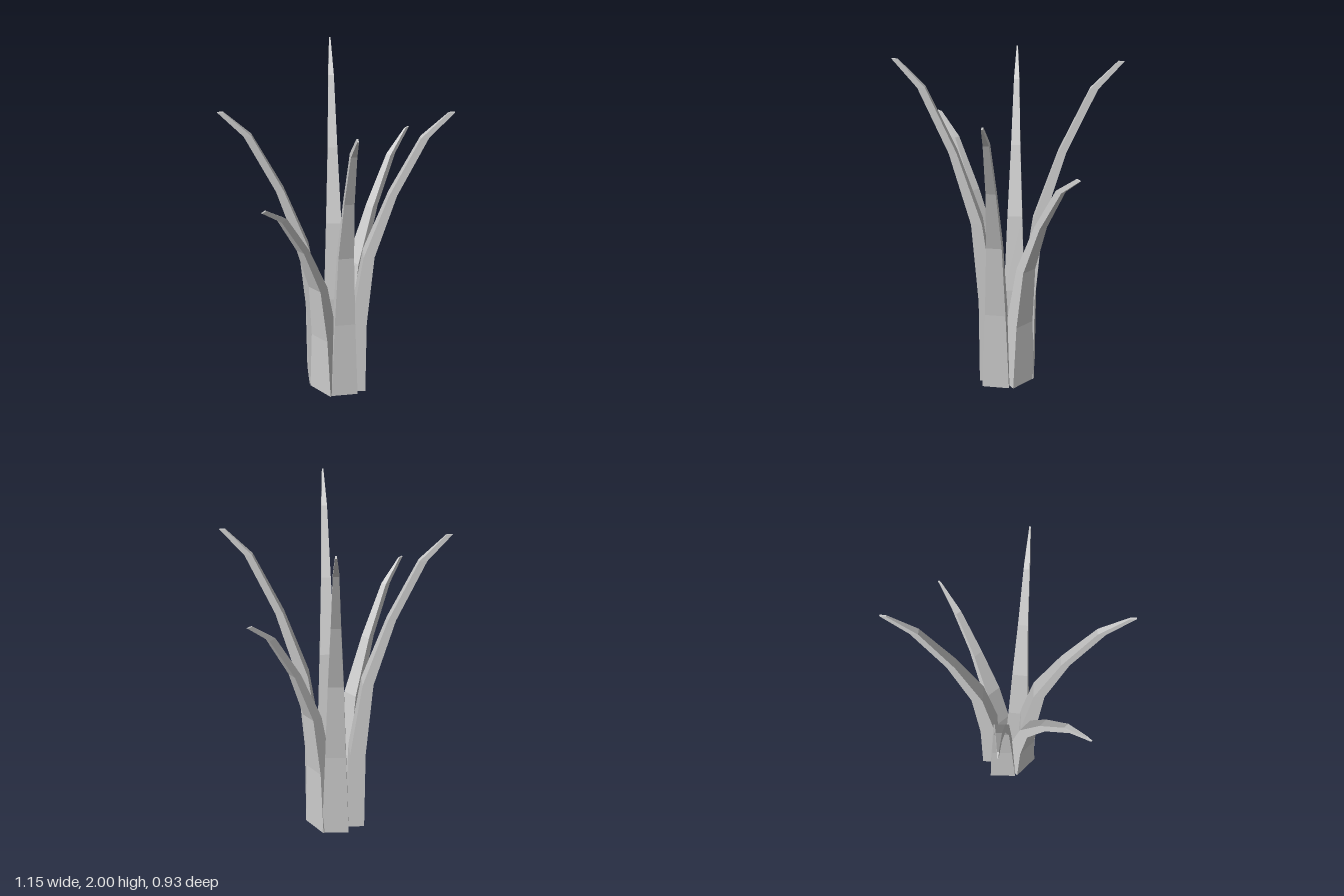
import * as THREE from 'three';

// Horizontal cross-sections of a blade: [height fraction, inner reach, outer reach, width]
const SECTIONS = [
  [0, 0.06, 0.165, 0.16],
  [0.285, 0.075, 0.165, 0.118],
  [0.537, 0.14, 0.2, 0.085],
  [0.747, 0.268, 0.31, 0.052],
  [0.926, 0.418, 0.458, 0.03],
  [1, 0.55, 0.58, 0.008],
];
const TIP_REACH = 0.58;

// Each blade: name, outward angle from +x towards +z in degrees, height, tip x, tip z
const BLADES = [
  ['leftBlade', 6, 1.545, 0.575, 0.04],
  ['frontLeftBlade', 50, 1.865, 0.34, 0.462],
  ['frontRightBlade', 135, 2, -0.387, 0.41],
  ['rightBlade', 180, 1.545, -0.575, -0.02],
  ['backRightBlade', 225, 1.865, -0.39, -0.463],
  ['backLeftBlade', 319, 2, 0.432, -0.405],
];

// Four-sided tapering blade that bends outwards along +x
function bladeGeometry(height) {
  const positions = [];
  const index = [];
  for (const [t, inner, outer, width] of SECTIONS) {
    const y = t * height, w = width / 2;
    positions.push(outer, y, w, inner, y, w, inner, y, -w, outer, y, -w);
  }
  for (let k = 0; k < SECTIONS.length - 1; k++) {
    for (let j = 0; j < 4; j++) {
      const a = k * 4 + j, b = k * 4 + (j + 1) % 4;
      index.push(a, a + 4, b, b, a + 4, b + 4);
    }
  }
  // Base and tip caps
  const top = (SECTIONS.length - 1) * 4;
  index.push(0, 1, 2, 0, 2, 3, top, top + 2, top + 1, top, top + 3, top + 2);

  const indexed = new THREE.BufferGeometry();
  indexed.setAttribute('position', new THREE.Float32BufferAttribute(positions, 3));
  indexed.setIndex(index);
  const geometry = indexed.toNonIndexed();
  geometry.computeVertexNormals();
  return geometry;
}

export function createModel() {
  const model = new THREE.Group();
  model.name = 'grassTuft';
  const material = new THREE.MeshStandardMaterial({ color: 0xcccccc, flatShading: true });

  // Ring of six blades, each placed by its tip
  for (const [name, degrees, height, tipX, tipZ] of BLADES) {
    const angle = THREE.MathUtils.degToRad(degrees);
    const blade = new THREE.Mesh(bladeGeometry(height), material);
    blade.name = name;
    blade.rotation.y = -angle;
    blade.position.set(tipX - TIP_REACH * Math.cos(angle), 0, tipZ - TIP_REACH * Math.sin(angle));
    model.add(blade);
  }
  return model;
}
